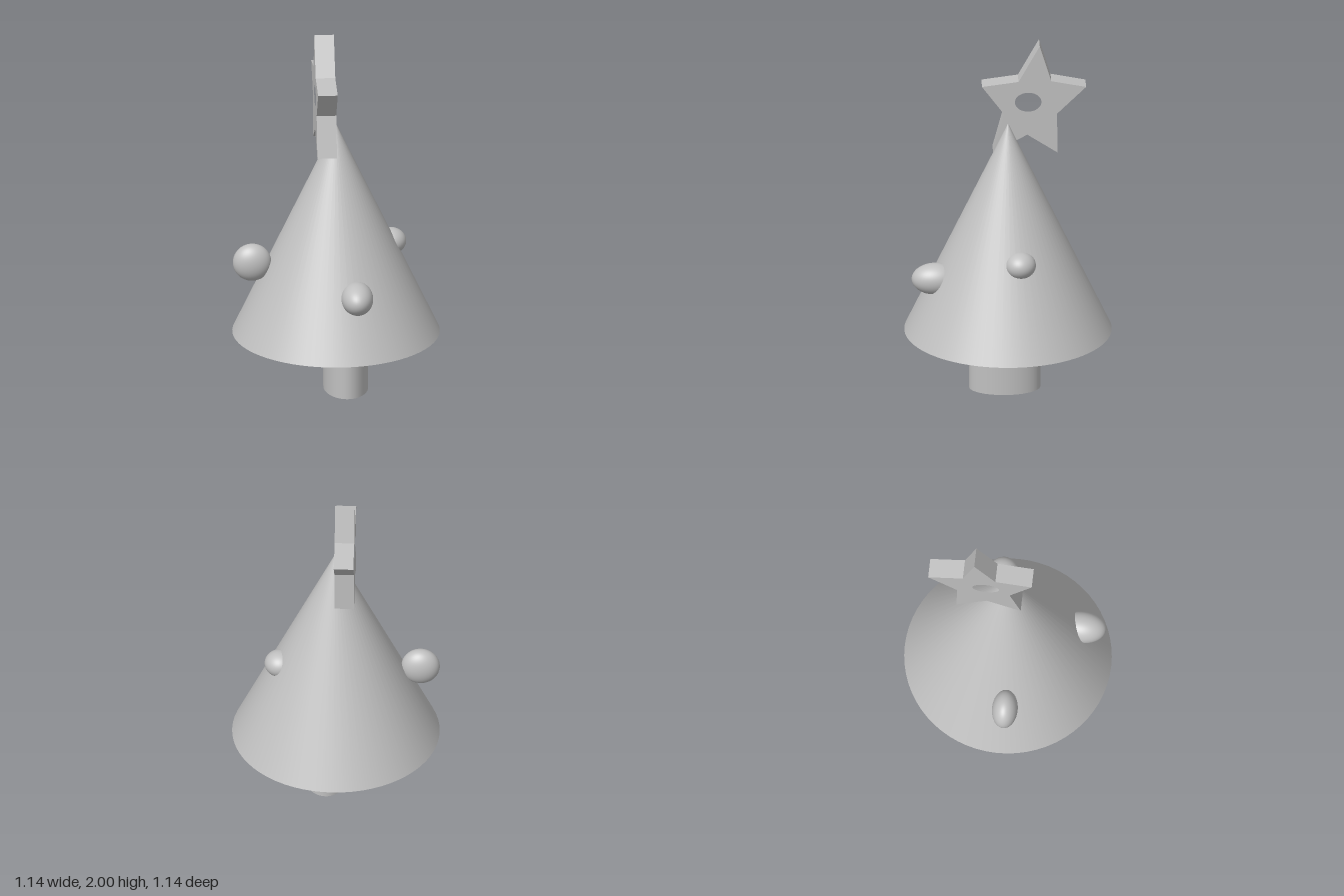
import * as THREE from 'three';

export function createModel() {
  const model = new THREE.Group();
  const grey = new THREE.MeshStandardMaterial({ color: 0xc0c0c0 });
  grey.name = 'plain grey';

  const add = (name, geometry, x, y, z) => {
    const mesh = new THREE.Mesh(geometry, grey);
    mesh.name = name;
    mesh.position.set(x, y, z);
    model.add(mesh);
    return mesh;
  };

  // Oval trunk, set slightly off centre
  const trunk = new THREE.CylinderGeometry(1, 1, 0.335, 48).scale(0.123, 1, 0.196);
  add('trunk', trunk, 0.052, 0.1675, 0.02);

  // Conical foliage
  add('foliage', new THREE.ConeGeometry(0.571, 1.22, 64), 0, 0.935, 0);

  // Stretched baubles half sunk into the foliage: position, radii
  const baubles = [
    ['rightBauble', [-0.465, 0.752, 0.034], [0.106, 0.106, 0.071]],
    ['frontBauble', [0.09, 0.664, 0.403], [0.088, 0.088, 0.131]],
    ['leftBauble', [0.303, 0.824, -0.058], [0.088, 0.074, 0.085]],
  ];
  for (const [name, position, radii] of baubles) {
    add(name, new THREE.SphereGeometry(1, 40, 28).scale(...radii), ...position);
  }

  // Tilted star with an oval hole, outlined as (-z, y) and extruded along x
  const outline = [
    [0.175, 2.0], [0.238, 1.792], [0.43, 1.755], [0.27, 1.598], [0.273, 1.367],
    [0.106, 1.476], [-0.082, 1.37], [-0.021, 1.598], [-0.143, 1.763], [0.058, 1.79],
  ];
  const star = new THREE.Shape(outline.map(([x, y]) => new THREE.Vector2(x, y)));
  star.holes.push(new THREE.Path().absellipse(0.111, 1.669, 0.073, 0.056, 0, Math.PI * 2, true));
  const starGeometry = new THREE.ExtrudeGeometry(star, {
    depth: 0.108, bevelEnabled: false, curveSegments: 48,
  }).rotateY(Math.PI / 2);
  add('star', starGeometry, -0.108, 0, 0);

  return model;
}
